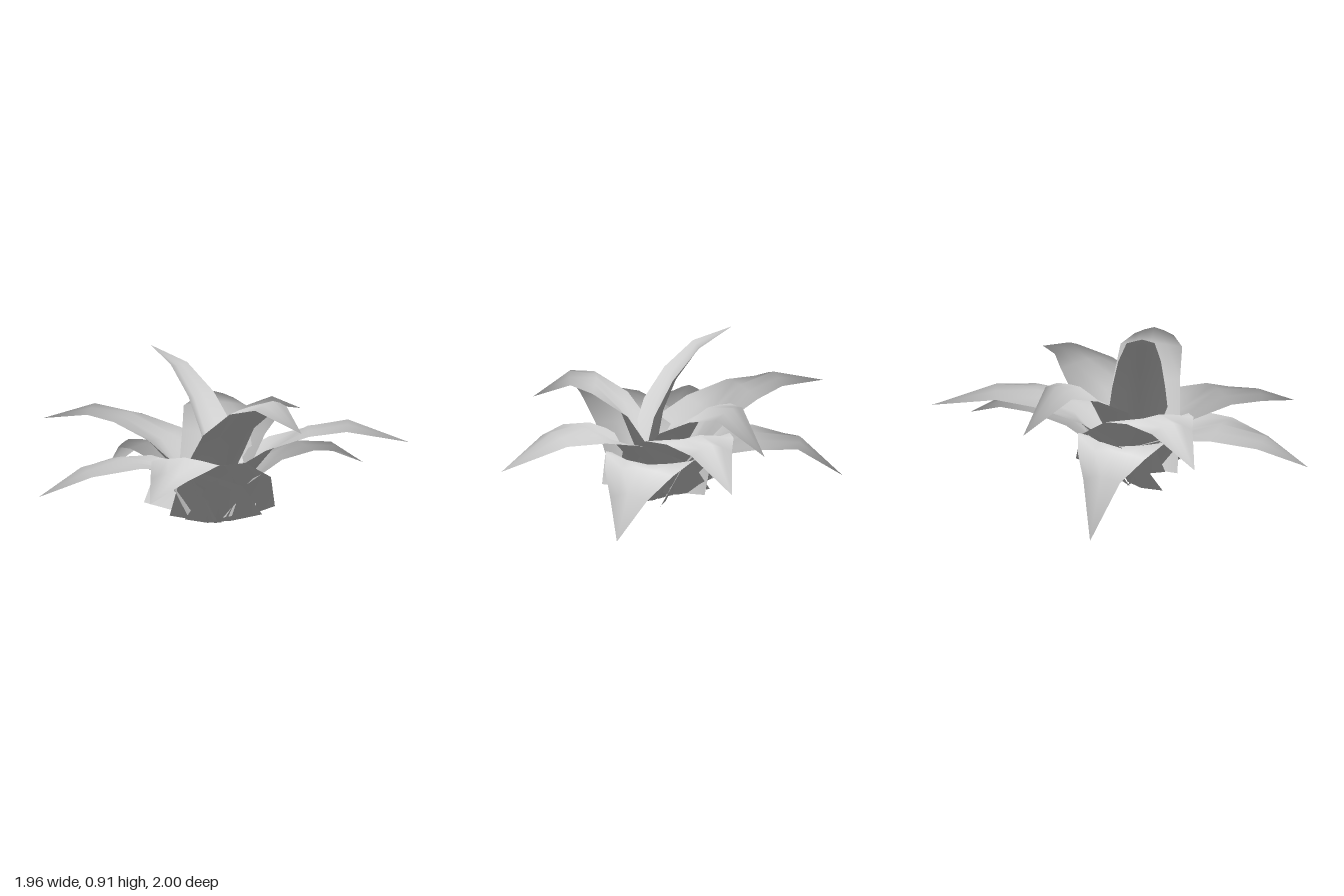
import * as THREE from 'three';

// Midrib [reach, height, half width, cup depth]; the last row is the tip.
// Leaves are cupped at the root and arched across further out.
const PROFILES = {
  outer: [[0.04, 0.01, 0.28, 0.18], [0.12, 0.18, 0.29, 0.15], [0.28, 0.35, 0.23, 0.04],
    [0.5, 0.44, 0.17, -0.03], [0.74, 0.41, 0.09, -0.04], [0.97, 0.31, 0, 0]],
  middle: [[0.04, 0.01, 0.28, 0.18], [0.13, 0.2, 0.28, 0.15], [0.31, 0.43, 0.22, 0.04],
    [0.49, 0.56, 0.17, -0.03], [0.7, 0.6, 0.1, -0.05], [1.02, 0.5, 0, 0]],
  inner: [[0.02, 0.03, 0.2, 0.12], [0.1, 0.25, 0.2, 0.11], [0.19, 0.49, 0.18, 0.05],
    [0.31, 0.66, 0.17, -0.03], [0.46, 0.7, 0.11, -0.04], [0.66, 0.56, 0, 0]],
  heart: [[0, 0.05, 0.16, 0.1], [0.01, 0.25, 0.17, 0.1], [0.05, 0.48, 0.14, 0.08],
    [0.12, 0.66, 0.11, 0.05], [0.23, 0.82, 0.07, 0.02], [0.4, 0.92, 0, 0]],
};

// Profile, root (x, z), tip (x, y, z) and height factor of each leaf
const LEAVES = [
  ['outer', [0.04, 0.02], [0.58, 0.23, -0.77], 0.9],
  ['outer', [0.05, 0.04], [0.17, 0.31, 1.0], 1],
  ['outer', [0.04, 0.04], [-0.54, 0.24, 0.82], 0.9],
  ['outer', [0.04, 0.04], [-0.86, 0.13, -0.36], 0.86],
  ['middle', [-0.05, 0.04], [0.11, 0.48, -1.0], 0.98],
  ['middle', [0.04, 0.06], [0.98, 0.45, -0.29], 0.94],
  ['middle', [0.04, 0.04], [-0.98, 0.5, 0.1], 1],
  ['inner', [0.04, 0.1], [0.63, 0.56, 0.33], 1],
  ['inner', [0.04, 0.02], [-0.27, 0.43, -0.58], 0.91],
  ['heart', [0.05, 0.08], [-0.36, 0.92, 0], 1],
];

// Outward lean of the shading normals, for soft foliage
const NORMAL_LEAN = 0.9;

// Blade lofted along its midrib
function leafGeometry(profile, [rx, rz], [tx, ty, tz], lift) {
  const reach = Math.hypot(tx - rx, tz - rz);
  const dx = (tx - rx) / reach, dz = (tz - rz) / reach;
  const last = profile.length - 1, across = 4, row = across + 1;
  const rib = profile.map(([r, y], i) => [r * reach / profile[last][0], i === last ? ty : y * lift]);
  const positions = [], indices = [];
  for (let i = 0; i <= last; i++) {
    const [, , half, cup] = profile[i];
    const a = rib[Math.max(i - 1, 0)], b = rib[Math.min(i + 1, last)];
    const len = Math.hypot(b[0] - a[0], b[1] - a[1]);
    const nr = -(b[1] - a[1]) / len, ny = (b[0] - a[0]) / len;
    const count = i === last ? 0 : across;
    for (let j = 0; j <= count; j++) {
      const s = count ? j / across * 2 - 1 : 0;
      const bend = cup * Math.pow(Math.abs(s), 1.4);
      const r = rib[i][0] + nr * bend, y = Math.max(0, rib[i][1] + ny * bend);
      positions.push(rx + dx * r - dz * s * half, y, rz + dz * r + dx * s * half);
    }
  }
  for (let i = 0; i < last; i++) {
    for (let j = 0; j < across; j++) {
      const a = i * row + j;
      if (i === last - 1) indices.push(a, a + 1, last * row);
      else indices.push(a, a + 1, a + row, a + 1, a + row + 1, a + row);
    }
  }
  const geometry = new THREE.BufferGeometry();
  geometry.setAttribute('position', new THREE.Float32BufferAttribute(positions, 3));
  geometry.setIndex(indices);
  geometry.computeVertexNormals();
  const lean = new THREE.Matrix4().makeRotationAxis(new THREE.Vector3(dz, 0, -dx), NORMAL_LEAN);
  geometry.attributes.normal.transformDirection(lean);
  return geometry;
}

export function createModel() {
  const plant = new THREE.Group();
  plant.name = 'rosettePlant';
  const material = new THREE.MeshStandardMaterial({ color: 0xcccccc, side: THREE.DoubleSide });
  material.name = 'leaf grey';
  LEAVES.forEach(([kind, root, tip, lift], i) => {
    const leaf = new THREE.Mesh(leafGeometry(PROFILES[kind], root, tip, lift), material);
    leaf.name = `${kind}Leaf${i + 1}`;
    plant.add(leaf);
  });
  return plant;
}
